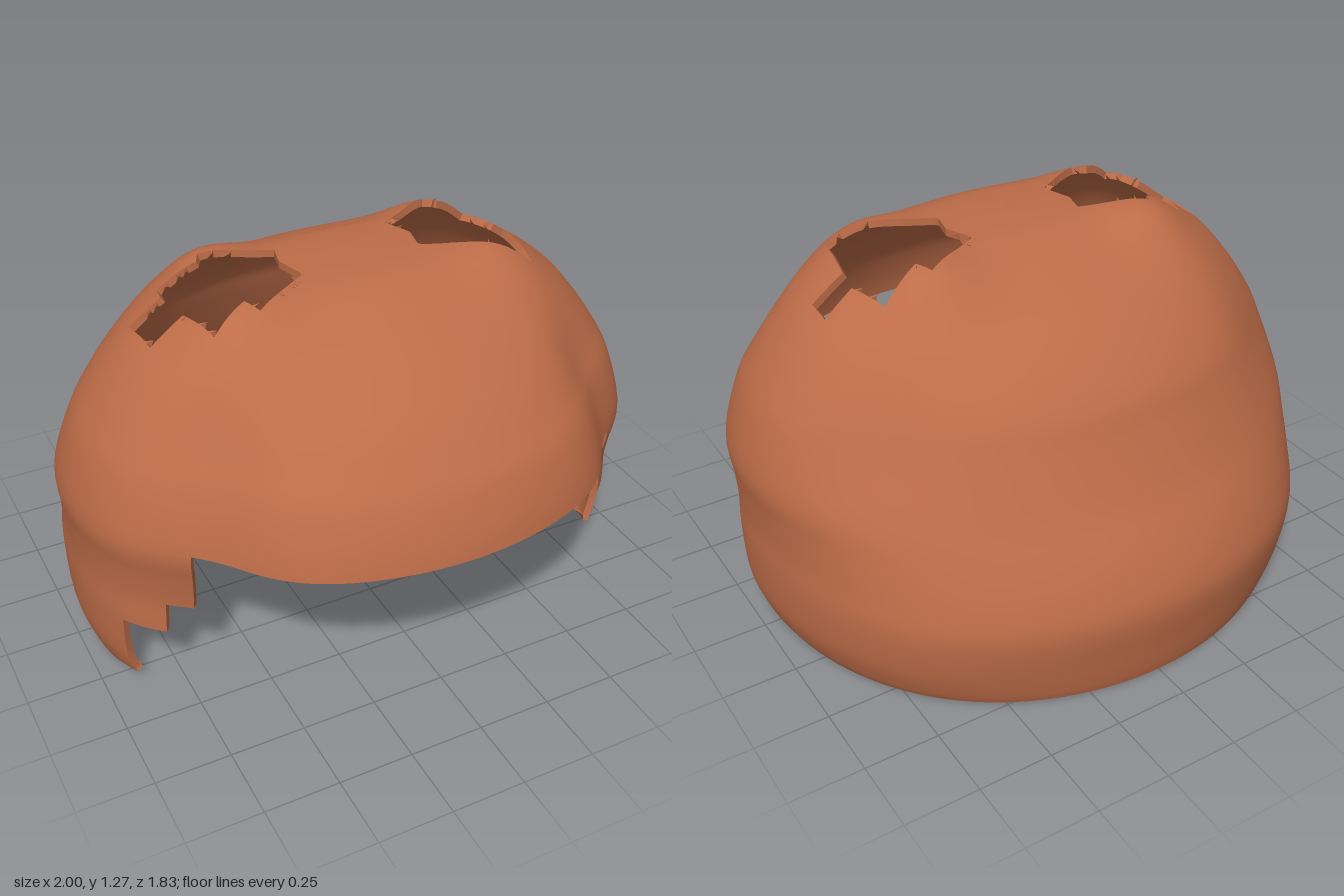
import * as THREE from 'three';

// Horizontal sections from crown to hem: [height, half width, reach forward, reach back]
const SECTIONS = [
  [1.268, 0, 0, 0], [1.262, 0.2, 0.15, 0.13], [1.245, 0.42, 0.24, 0.2], [1.2, 0.58, 0.34, 0.31],
  [1.1, 0.73, 0.51, 0.49], [1.0, 0.82, 0.64, 0.61], [0.9, 0.89, 0.73, 0.69], [0.8, 0.945, 0.8, 0.735],
  [0.62, 0.998, 0.86, 0.82], [0.5, 0.99, 0.83, 0.89], [0.39, 0.985, 0.8, 0.94], [0.28, 0.99, 0.8, 0.965],
  [0.13, 0.985, 0.78, 0.945], [0.04, 0.96, 0.78, 0.93], [0, 0.94, 0.78, 0.92],
];
// Jagged openings in the crown, as x, z corners
const HOLES = [
  [[0.2, -0.06], [0.41, -0.18], [0.44, -0.13], [0.57, -0.17], [0.61, -0.03], [0.71, -0.04],
    [0.71, 0.05], [0.6, 0.05], [0.56, 0.28], [0.22, 0.13], [0.24, 0.04]],
  [[-0.21, -0.04], [-0.44, -0.12], [-0.46, -0.08], [-0.59, -0.1], [-0.6, -0.04], [-0.71, -0.04],
    [-0.7, 0.13], [-0.59, 0.13], [-0.55, 0.28], [-0.43, 0.23], [-0.4, 0.28], [-0.2, 0.15], [-0.23, 0.04]],
];
// Face opening: cells within this angle of the front and below this height are cut away
const STEPS = [[54, 0.62], [60, 0.39], [70.5, 0.28]];
const COLS = 240, STEP = 360 / COLS, CENTRE_Z = 0.05, THICK = 0.025;

const bell = (d, width) => Math.exp(-((d / width) ** 2));

// Rows of sections, smoothly interpolated, finer around the crown
function makeRows() {
  const widths = new THREE.CatmullRomCurve3(SECTIONS.map(s => new THREE.Vector3(s[1], s[0], 0)), false, 'catmullrom', 0.5);
  const depths = new THREE.CatmullRomCurve3(SECTIONS.map(s => new THREE.Vector3(s[2], s[0], s[3])), false, 'catmullrom', 0.5);
  const rows = [], n = SECTIONS.length - 1;
  for (let k = 0; k < n; k++) {
    const sub = k < 5 ? 8 : 4;
    for (let i = k ? 1 : 0; i <= sub; i++) {
      const t = (k + i / sub) / n, a = widths.getPoint(t), b = depths.getPoint(t);
      rows.push({ y: a.y, w: a.x, front: b.x, back: b.z });
    }
  }
  return rows;
}

function surfacePoint(row, deg) {
  const rad = THREE.MathUtils.degToRad(deg), side = Math.min(deg, 360 - deg);
  // dents beside the fringe and behind the crown, fuller lower back
  const k = 1 - 0.07 * bell(side - 50, 14) * THREE.MathUtils.smoothstep(1.2 - row.y, 0, 0.3)
    - 0.035 * bell(side - 128, 16) * bell(row.y - 0.85, 0.2)
    + 0.025 * bell(side - 135, 25) * bell(row.y - 0.25, 0.3);
  const c = Math.cos(rad);
  const x = row.w * Math.sin(rad) * k;
  const z = CENTRE_Z + (c > 0 ? row.front : row.back) * c * k;
  let y = row.y;
  // raised rims at the front and back of each crown opening
  if (y > 0.9) {
    y += 0.05 * bell(Math.hypot(Math.abs(x) - 0.48, z - 0.27), 0.17)
      + 0.06 * bell(Math.hypot(Math.abs(x) - 0.43, z + 0.18), 0.16);
  }
  // clipped lower corner of the cheek
  if (y < 0.04) y += (0.04 - y) * THREE.MathUtils.clamp((80 - side) / 9.5, 0, 1);
  return new THREE.Vector3(x, y, z);
}

function inside(poly, x, z) {
  let hit = false;
  poly.forEach(([ax, az], i) => {
    const [bx, bz] = poly[(i + 1) % poly.length];
    if ((az > z) !== (bz > z) && x < ax + (bx - ax) * (z - az) / (bz - az)) hit = !hit;
  });
  return hit;
}

function nearestOnOutline(poly, x, z) {
  let best = null, bestD = Infinity;
  poly.forEach(([ax, az], i) => {
    const [bx, bz] = poly[(i + 1) % poly.length], dx = bx - ax, dz = bz - az;
    const t = THREE.MathUtils.clamp(((x - ax) * dx + (z - az) * dz) / (dx * dx + dz * dz), 0, 1);
    const px = ax + dx * t, pz = az + dz * t, d = Math.hypot(px - x, pz - z);
    if (d < bestD) { bestD = d; best = [px, pz]; }
  });
  return best;
}

function indexed(points, faces) {
  const g = new THREE.BufferGeometry().setFromPoints(points);
  g.setIndex(faces);
  g.computeVertexNormals();
  return g;
}
const normalsOf = g => {
  const a = g.getAttribute('normal');
  return Array.from({ length: a.count }, (_, i) => new THREE.Vector3().fromBufferAttribute(a, i));
};

export function createModel() {
  const group = new THREE.Group();
  const material = new THREE.MeshStandardMaterial({ color: 0xbd6c48 });
  material.name = 'terracotta';

  // Point grid; the whole first row shares the crown point
  const rows = makeRows(), points = [surfacePoint(rows[0], 0)];
  const id = (j, i) => (j === 0 ? 0 : 1 + (j - 1) * COLS + (i % COLS));
  for (let j = 1; j < rows.length; j++) {
    for (let i = 0; i < COLS; i++) points.push(surfacePoint(rows[j], i * STEP));
  }

  // Keep every cell outside the openings
  const all = [], kept = [], keptPoints = new Set(), cutPoints = HOLES.map(() => new Set());
  for (let j = 0; j < rows.length - 1; j++) {
    const midY = (rows[j].y + rows[j + 1].y) / 2;
    for (let i = 0; i < COLS; i++) {
      const a = id(j, i), b = id(j + 1, i), c = id(j + 1, i + 1), d = id(j, i + 1);
      const tris = j === 0 ? [a, b, c] : [a, b, c, a, c, d];
      all.push(...tris);
      const deg = (i + 0.5) * STEP, side = Math.min(deg, 360 - deg);
      const x = (points[a].x + points[b].x + points[c].x + points[d].x) / 4;
      const z = (points[a].z + points[b].z + points[c].z + points[d].z) / 4;
      const hole = midY > 1 ? HOLES.findIndex(p => inside(p, x, z)) : -1;
      if (hole >= 0) [a, b, c, d].forEach(v => cutPoints[hole].add(v));
      else if (!STEPS.some(([s, y]) => side < s && midY < y)) {
        kept.push(...tris);
        tris.forEach(v => keptPoints.add(v));
      }
    }
  }

  // Slide the rims of the crown openings along the surface onto their outlines
  const slopes = normalsOf(indexed(points, all));
  const slide = (v, [x, z]) => {
    const p = points[v], n = slopes[v];
    p.y -= (n.x * (x - p.x) + n.z * (z - p.z)) / Math.max(n.y, 0.4);
    p.x = x;
    p.z = z;
  };
  HOLES.forEach((poly, h) => {
    const rim = [...cutPoints[h]].filter(v => keptPoints.has(v));
    rim.forEach(v => slide(v, nearestOnOutline(poly, points[v].x, points[v].z)));
    poly.forEach(corner => {
      const dist = v => Math.hypot(points[v].x - corner[0], points[v].z - corner[1]);
      slide(rim.reduce((m, v) => (dist(v) < dist(m) ? v : m)), corner);
    });
  });

  // Outer surface and the lining just beneath it
  const outer = indexed(points, kept);
  const inner = points.map((p, i) => p.clone().addScaledVector(normalsOfCache(outer)[i], -THICK));
  const flipped = [];
  for (let i = 0; i < kept.length; i += 3) flipped.push(kept[i], kept[i + 2], kept[i + 1]);

  // Flat walls joining both surfaces along every open edge
  const edges = new Set(), wall = [];
  const eachEdge = fn => {
    for (let i = 0; i < kept.length; i += 3) {
      for (let e = 0; e < 3; e++) fn(kept[i + e], kept[i + (e + 1) % 3]);
    }
  };
  eachEdge((a, b) => edges.add(`${a},${b}`));
  eachEdge((a, b) => {
    if (!edges.has(`${b},${a}`)) wall.push(points[b], points[a], inner[a], points[b], inner[a], inner[b]);
  });
  const rimGeometry = new THREE.BufferGeometry().setFromPoints(wall);
  rimGeometry.computeVertexNormals();

  const parts = { outerShell: outer, innerLining: indexed(inner, flipped), cutEdges: rimGeometry };
  for (const [name, geometry] of Object.entries(parts)) {
    const mesh = new THREE.Mesh(geometry, material);
    mesh.name = name;
    group.add(mesh);
  }
  return group;
}

// Normals are read once per geometry
const cache = new Map();
function normalsOfCache(g) {
  if (!cache.has(g)) cache.set(g, normalsOf(g));
  return cache.get(g);
}
